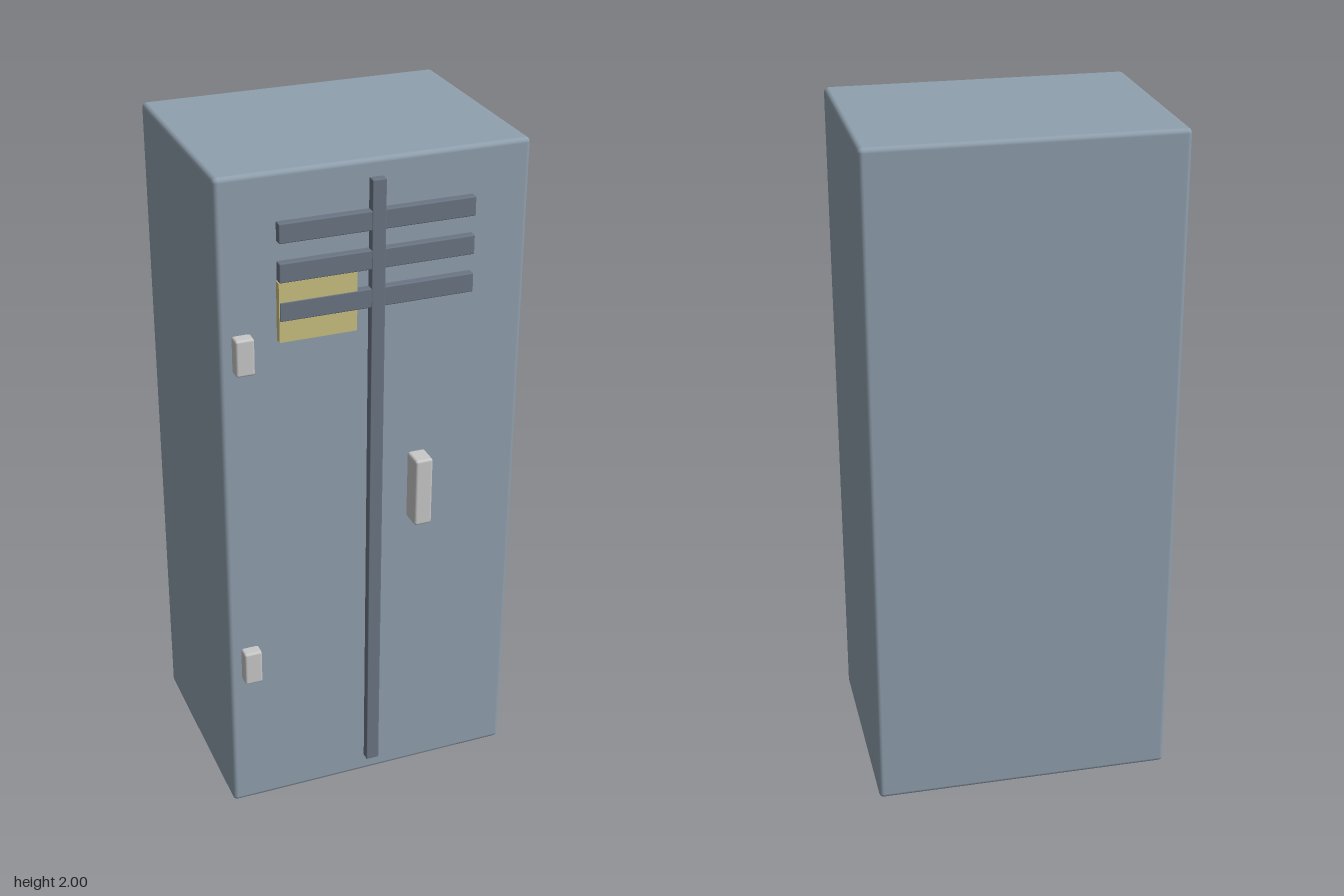
import * as THREE from 'three';
import { RoundedBoxGeometry } from 'three/addons/geometries/RoundedBoxGeometry.js';

const material = (name, color) => {
  const m = new THREE.MeshStandardMaterial({ color });
  m.name = name;
  return m;
};

export function createModel() {
  const group = new THREE.Group();
  group.name = 'locker';

  const paint = material('blue grey paint', 0x90a0ae);
  const trim = material('dark grey trim', 0x6b7584);
  const metal = material('light metal', 0xc8c8c8);
  const card = material('yellow card', 0xc9bf80);
  const rubber = material('dark rubber', 0x3a4148);

  // Box given by its min and max corners, with optional rounded edges
  const box = (name, mat, [x0, y0, z0], [x1, y1, z1], radius = 0) => {
    const size = [x1 - x0, y1 - y0, z1 - z0];
    const geometry = radius
      ? new RoundedBoxGeometry(...size, 2, radius)
      : new THREE.BoxGeometry(...size);
    const mesh = new THREE.Mesh(geometry, mat);
    mesh.name = name;
    mesh.position.set((x0 + x1) / 2, (y0 + y1) / 2, (z0 + z1) / 2);
    group.add(mesh);
  };

  // Cabinet
  box('cabinet', paint, [-0.443, 0.003, -0.363], [0.443, 2, 0.3], 0.014);

  // Centre strip and vent slats on the front
  box('centreStrip', trim, [-0.02, 0.06, 0.295], [0.02, 1.95, 0.324], 0.003);
  for (const y of [1.59, 1.7, 1.81]) {
    box('ventSlat', trim, [-0.278, y, 0.295], [0.278, y + 0.055, 0.323], 0.003);
  }

  // Name card behind the lowest slat
  box('nameCard', card, [-0.28, 1.53, 0.295], [-0.06, 1.7, 0.3215]);

  // Hinges and handle
  for (const y of [0.453, 1.453]) {
    box('hinge', metal, [-0.406, y, 0.29], [-0.353, y + 0.107, 0.334], 0.007);
  }
  box('handle', metal, [0.105, 0.9, 0.295], [0.158, 1.112, 0.362], 0.008);

  // Feet, nearly flush with the underside
  for (const x of [-0.35, 0.35]) {
    for (const z of [-0.265, 0.215]) {
      box('foot', rubber, [x - 0.04, 0, z - 0.04], [x + 0.04, 0.02, z + 0.04]);
    }
  }

  return group;
}
